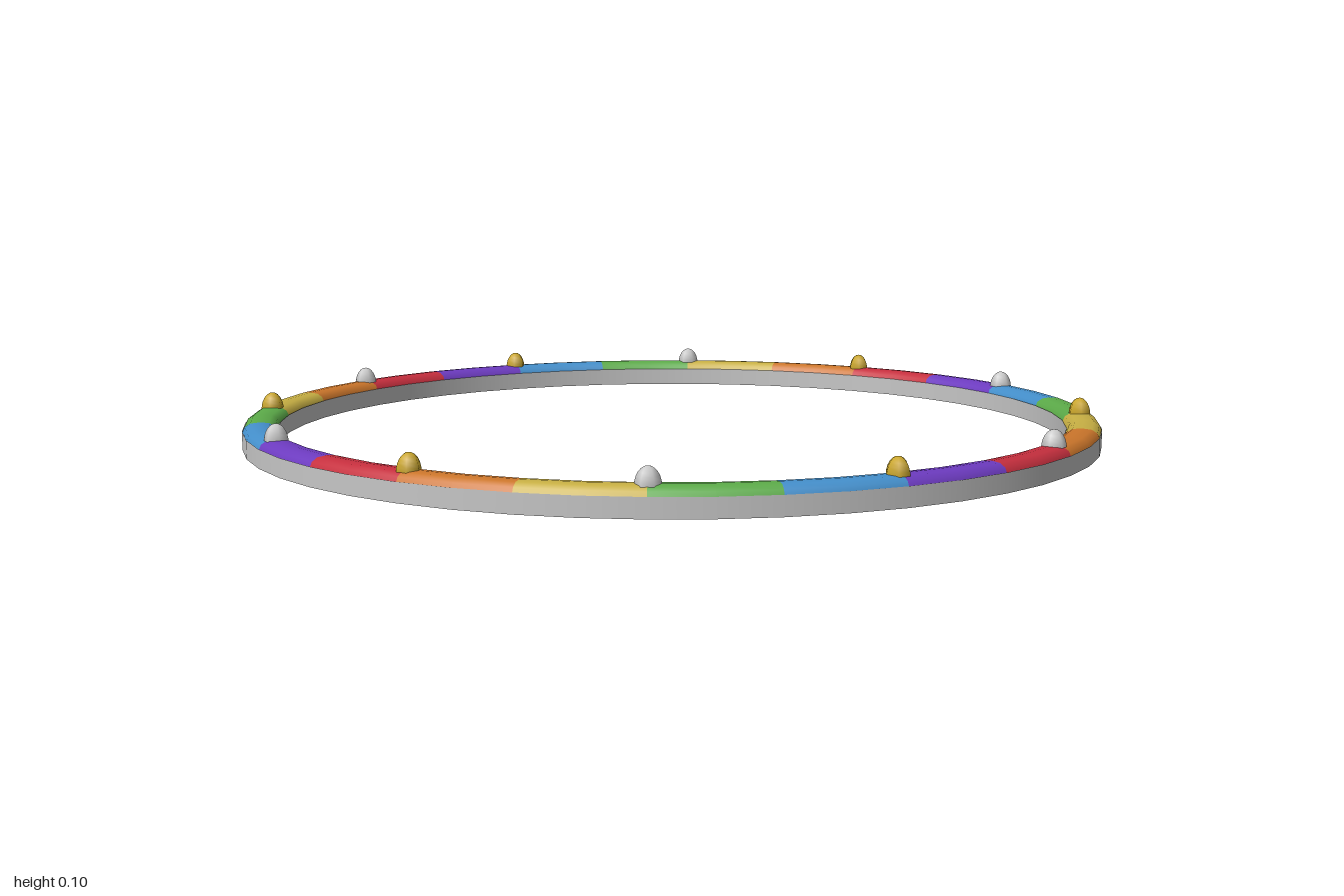
import * as THREE from 'three';

const MID = 0.96;      // centreline radius of the ring
const SEGMENTS = 24;   // coloured strips around the ring

function material(name, color, open = false) {
  const m = new THREE.MeshStandardMaterial({ color });
  m.name = name;
  if (open) m.side = THREE.DoubleSide;
  return m;
}

export function createModel() {
  const group = new THREE.Group();
  group.name = 'rainbowRing';

  const add = (name, geometry, mat) => {
    const mesh = new THREE.Mesh(geometry, mat);
    mesh.name = name;
    group.add(mesh);
    return mesh;
  };

  const base = material('light grey', 0xc6c6c6, true);
  const silver = material('silver', 0xcacaca);
  const gold = material('gold', 0xcaa62a);
  const rainbow = [
    material('red', 0xc62f3e, true),
    material('orange', 0xcc762b, true),
    material('yellow', 0xc8b044, true),
    material('green', 0x5cab49, true),
    material('blue', 0x448fcb, true),
    material('purple', 0x6d3bc0, true),
  ];

  // Thin walls of the channel, open underneath
  const wall = (r, y0, y1) =>
    new THREE.LatheGeometry([new THREE.Vector2(r, y0), new THREE.Vector2(r, y1)], 48);
  add('outerWall', wall(MID + 0.04, 0, 0.043), base);
  add('innerWall', wall(MID - 0.04, 0.043, 0), base);

  // Rounded cover, one strip for each colour
  const half = [[0.039, 0.041], [0.034, 0.052], [0.021, 0.06]];
  const profile = [
    ...half.map(([d, y]) => new THREE.Vector2(MID + d, y)),
    new THREE.Vector2(MID, 0.062),
    ...half.slice().reverse().map(([d, y]) => new THREE.Vector2(MID - d, y)),
  ];
  const step = (Math.PI * 2) / SEGMENTS;
  for (let i = 0; i < SEGMENTS; i++) {
    add('coverStrip', new THREE.LatheGeometry(profile, 2, i * step, step), rainbow[i % 6]);
  }

  // Beads at every second joint, alternately silver and gold
  const bead = new THREE.SphereGeometry(0.027, 6, 6, 0, Math.PI * 2, 0, Math.PI / 2);
  bead.scale(1, 1.5, 1);
  for (let i = 0; i < 12; i++) {
    const a = (i * 2 + 1) * step;
    const mesh = add('bead', bead, i % 2 ? gold : silver);
    mesh.position.set(MID * Math.sin(a), 0.056, MID * Math.cos(a));
    mesh.rotation.y = a;
  }

  return group;
}
